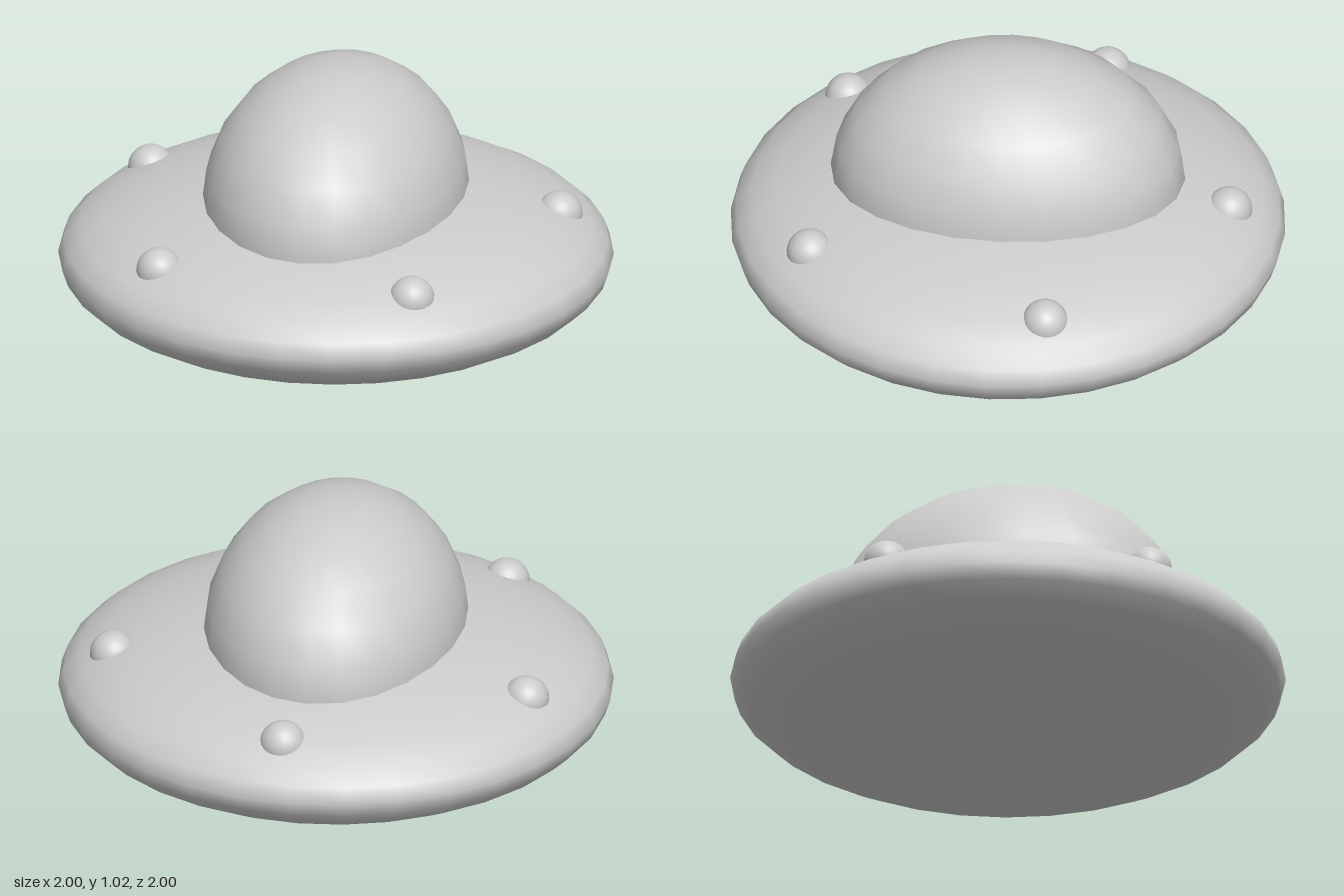
import * as THREE from 'three';

const material = new THREE.MeshStandardMaterial({ color: 0xcccccc });

// Smooth ellipsoid with the given radii and centre
function ellipsoid(name, radii, centre, segments, rings) {
  const geometry = new THREE.SphereGeometry(1, segments, rings);
  geometry.scale(...radii);
  const mesh = new THREE.Mesh(geometry, material);
  mesh.name = name;
  mesh.position.set(...centre);
  return mesh;
}

export function createModel() {
  const model = new THREE.Group();
  model.name = 'flyingSaucer';

  // Flattened saucer body
  model.add(ellipsoid('hull', [1, 0.293, 1], [0, 0.298, 0], 32, 16));

  // Cockpit dome, longer from front to back, sunk into the hull
  model.add(ellipsoid('dome', [0.475, 0.505, 0.64], [0, 0.52, 0], 24, 12));

  // Five round lights spaced evenly around the upper hull
  const lights = new THREE.Group();
  lights.name = 'lights';
  for (let i = 0; i < 5; i++) {
    const angle = THREE.MathUtils.degToRad(-13.8 + i * 72);
    const centre = [0.805 * Math.cos(angle), 0.44, 0.805 * Math.sin(angle)];
    lights.add(ellipsoid(`light${i + 1}`, [0.083, 0.083, 0.083], centre, 24, 16));
  }
  model.add(lights);

  return model;
}
